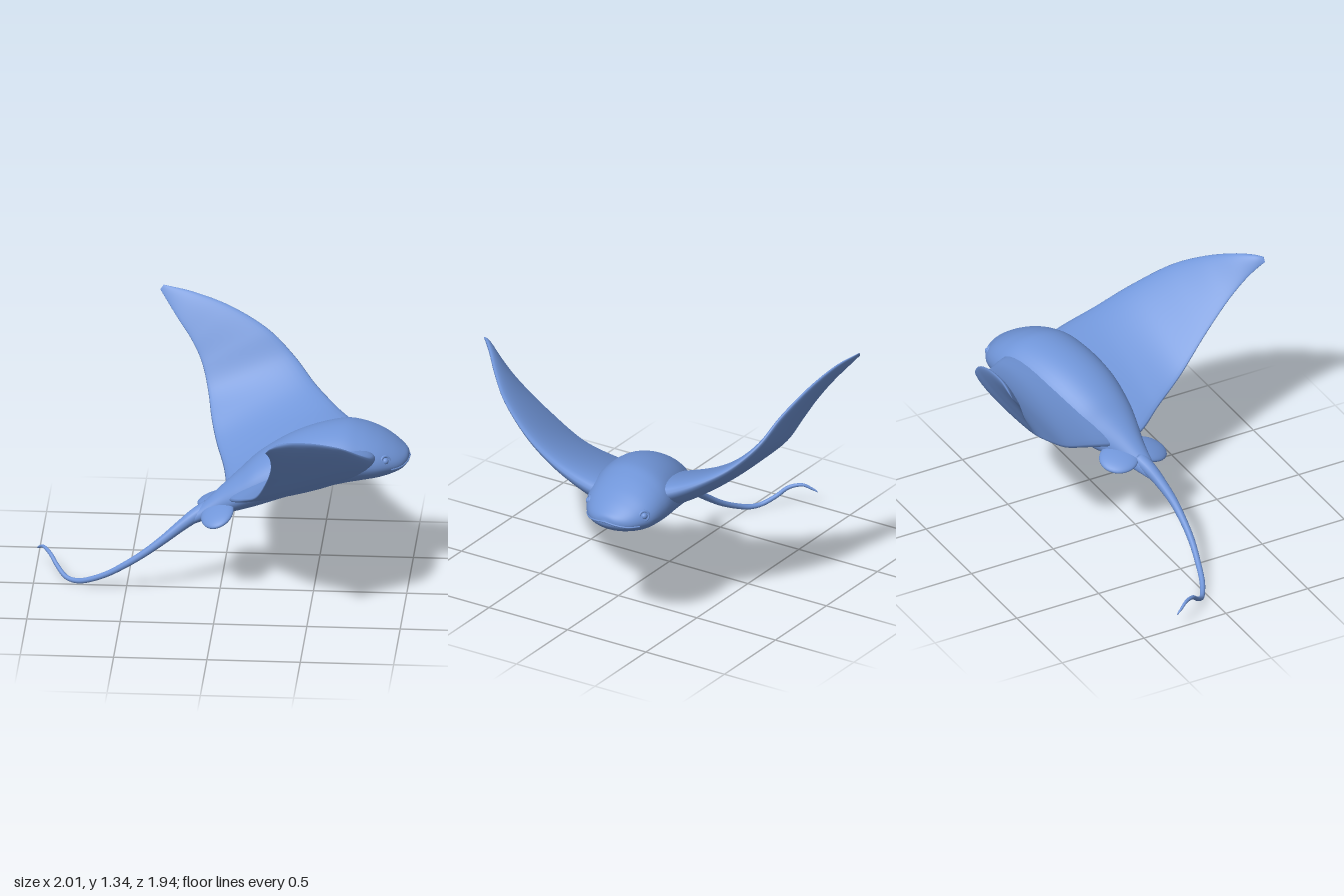
import * as THREE from 'three';

const V = (x, y, z) => new THREE.Vector3(x, y, z);
const spline = pts => new THREE.CatmullRomCurve3(pts.map(p => V(...p)), false, 'catmullrom', 0.5);

// Skins a list of closed rings, caps both ends and turns all faces outward
function loft(rings) {
  const n = rings[0].length, m = rings.length, pos = [], idx = [];
  rings.flat().forEach(p => pos.push(p.x, p.y, p.z));
  for (const r of [rings[0], rings[m - 1]]) {
    const c = r.reduce((s, p) => s.add(p), V(0, 0, 0)).divideScalar(n);
    pos.push(c.x, c.y, c.z);
  }
  for (let j = 0; j < n; j++) {
    const k = (j + 1) % n;
    for (let i = 0; i < m - 1; i++) {
      const a = i * n + j, b = i * n + k;
      idx.push(a, b, a + n, b, b + n, a + n);
    }
    idx.push(m * n, k, j, m * n + 1, (m - 1) * n + j, (m - 1) * n + k);
  }
  const at = i => V(pos[3 * i], pos[3 * i + 1], pos[3 * i + 2]);
  let volume = 0;
  for (let i = 0; i < idx.length; i += 3) volume += at(idx[i]).dot(at(idx[i + 1]).cross(at(idx[i + 2])));
  if (volume < 0) idx.reverse();
  const g = new THREE.BufferGeometry();
  g.setAttribute('position', new THREE.Float32BufferAttribute(pos, 3));
  g.setIndex(idx);
  g.computeVertexNormals();
  return g;
}

// Body: x, top, bottom, centre z, half width
const BODY = [
  [-0.2, 0.398, 0.362, 0.038, 0.018], [-0.1, 0.485, 0.392, 0.0, 0.052],
  [0, 0.575, 0.425, -0.035, 0.09], [0.1, 0.66, 0.445, -0.07, 0.145],
  [0.2, 0.745, 0.468, -0.1, 0.185], [0.35, 0.83, 0.512, -0.135, 0.22],
  [0.5, 0.88, 0.547, -0.17, 0.235], [0.65, 0.9, 0.575, -0.205, 0.24],
  [0.75, 0.882, 0.59, -0.222, 0.232], [0.84, 0.845, 0.605, -0.232, 0.212],
  [0.91, 0.803, 0.625, -0.235, 0.172], [0.96, 0.765, 0.647, -0.235, 0.125],
  [0.99, 0.737, 0.675, -0.235, 0.067], [1.0, 0.708, 0.704, -0.235, 0.005],
];
const heights = spline(BODY.map(b => [b[0], b[1], b[2]]));
const widths = spline(BODY.map(b => [b[0], b[3], b[4]]));

// Point on the body skin at length t and angle a around it
function bodyPoint(t, a) {
  const h = heights.getPoint(t), w = widths.getPoint(t);
  const mid = h.z + (h.y - h.z) * 0.45, s = Math.sin(a);
  return V(h.x, mid + s * (s > 0 ? h.y - mid : mid - h.z), w.y + w.z * Math.cos(a));
}

function bodyGeometry() {
  const rings = [];
  for (let i = 0; i <= 90; i++)
    rings.push(Array.from({ length: 48 }, (_, j) => bodyPoint(i / 90, j / 48 * Math.PI * 2)));
  return loft(rings);
}

// Wing: leading and trailing edges from root to tip
const WINGS = {
  leftWing: {
    lead: [[0.8, 0.74, -0.15], [0.83, 0.785, 0], [0.82, 0.855, 0.2], [0.78, 0.955, 0.4], [0.69, 1.075, 0.6],
      [0.57, 1.155, 0.74], [0.45, 1.205, 0.85], [0.37, 1.22, 0.925], [0.33, 1.215, 0.968]],
    trail: [[0.02, 0.51, -0.06], [0.06, 0.545, 0.08], [0.14, 0.605, 0.22], [0.22, 0.7, 0.4], [0.285, 0.86, 0.585],
      [0.322, 1.0, 0.74], [0.328, 1.1, 0.85], [0.318, 1.16, 0.92], [0.31, 1.192, 0.966]],
  },
  rightWing: {
    lead: [[0.74, 0.76, -0.28], [0.69, 0.8, -0.43], [0.59, 0.84, -0.55], [0.465, 0.915, -0.68], [0.345, 1.03, -0.785],
      [0.2, 1.16, -0.84], [0, 1.265, -0.89], [-0.2, 1.325, -0.93], [-0.37, 1.347, -0.97]],
    trail: [[0.03, 0.52, -0.1], [0.0, 0.585, -0.28], [-0.05, 0.66, -0.44], [-0.085, 0.75, -0.56], [-0.112, 0.86, -0.68],
      [-0.15, 0.99, -0.755], [-0.21, 1.1, -0.81], [-0.29, 1.2, -0.87], [-0.388, 1.322, -0.963]],
  },
};

function wingGeometry({ lead, trail }) {
  const L = spline(lead), T = spline(trail), rings = [], N = 32;
  const mid = s => L.getPoint(s).add(T.getPoint(s));
  for (let i = 0; i <= 60; i++) {
    const s = i / 60, l = L.getPoint(s), chord = T.getPoint(s).sub(l);
    const span = mid(Math.min(s + 0.02, 1)).sub(mid(Math.max(s - 0.02, 0)));
    const n = chord.clone().cross(span).normalize();
    if (n.y < 0) n.negate();
    // Thick where it melts into the body, thin and closed at the tip
    const h = (0.012 + 0.027 * (1 - s) + 0.055 * Math.exp(-((s / 0.26) ** 2))) * Math.sqrt(1.02 - s ** 8);
    rings.push(Array.from({ length: N }, (_, j) => {
      const a = j / N * Math.PI * 2, u = (1 - Math.cos(a)) / 2;
      const t = Math.sin(a) * (1.25 - 0.6 * u) * h;
      return l.clone().addScaledVector(chord, u).addScaledVector(n, t);
    }));
  }
  return loft(rings);
}

// Tail: x, y, z and radius
const TAIL = [
  [-0.06, 0.465, -0.015, 0.042], [-0.13, 0.428, 0.013, 0.038], [-0.2, 0.38, 0.038, 0.031],
  [-0.3, 0.302, 0.066, 0.024], [-0.4, 0.225, 0.075, 0.02],
  [-0.5, 0.155, 0.07, 0.018], [-0.6, 0.09, 0.05, 0.016], [-0.7, 0.041, 0.02, 0.015], [-0.77, 0.018, -0.015, 0.014],
  [-0.83, 0.023, -0.055, 0.013], [-0.88, 0.063, -0.11, 0.012], [-0.92, 0.11, -0.16, 0.011],
  [-0.96, 0.125, -0.22, 0.009], [-0.985, 0.105, -0.265, 0.007], [-0.998, 0.088, -0.295, 0.003],
];

function tailGeometry() {
  const path = spline(TAIL), radius = spline(TAIL.map(p => [p[3], 0, 0])), rings = [];
  for (let i = 0; i <= 100; i++) {
    const t = i / 100, c = path.getPoint(t), d = path.getTangent(t), r = radius.getPoint(t).x;
    const side = V(0, 1, 0).cross(d).normalize(), up = d.clone().cross(side);
    rings.push(Array.from({ length: 16 }, (_, j) => {
      const a = j / 16 * Math.PI * 2;
      return c.clone().addScaledVector(side, r * Math.cos(a)).addScaledVector(up, r * Math.sin(a));
    }));
  }
  return loft(rings);
}

export function createModel() {
  const group = new THREE.Group();
  const skin = new THREE.MeshStandardMaterial({ color: 0x7095d8 });
  skin.name = 'ocean blue skin';
  const add = (name, geometry, parent = group) => {
    const mesh = new THREE.Mesh(geometry, skin);
    mesh.name = name;
    parent.add(mesh);
    return mesh;
  };

  add('body', bodyGeometry());
  add('tail', tailGeometry());
  for (const name in WINGS) add(name, wingGeometry(WINGS[name]));

  // Small rounded fins at the root of the tail
  const ball = new THREE.SphereGeometry(1, 32, 20);
  const fin = (name, position, scale, tilt) => {
    const mesh = add(name, ball);
    mesh.position.set(...position);
    mesh.scale.set(...scale);
    mesh.rotation.set(tilt, 0, 0.3);
  };
  fin('leftPelvicFin', [-0.01, 0.465, 0.07], [0.092, 0.03, 0.118], 0.35);
  fin('rightPelvicFin', [-0.03, 0.478, -0.115], [0.104, 0.03, 0.108], -0.12);

  // Eyes with a raised lid, one on each side of the head
  for (const side of [1, -1]) {
    const eye = new THREE.Group();
    eye.name = side > 0 ? 'leftEye' : 'rightEye';
    eye.position.set(0.88, 0.738, -0.235 + side * 0.175);
    eye.lookAt(eye.position.clone().add(V(0.6, 0.25, side * 0.8)));
    add('eyeball', ball, eye).scale.setScalar(0.018);
    add('eyelid', new THREE.TorusGeometry(0.026, 0.008, 12, 28), eye);
    group.add(eye);
  }

  // Lip line wrapped around the front of the head
  const lip = [];
  for (let i = -16; i <= 16; i++)
    lip.push(bodyPoint(1 - 0.23 * Math.abs(i) / 16, i < 0 ? -0.25 : Math.PI + 0.25));
  add('lip', new THREE.TubeGeometry(new THREE.CatmullRomCurve3(lip), 80, 0.005, 8));

  return group;
}
